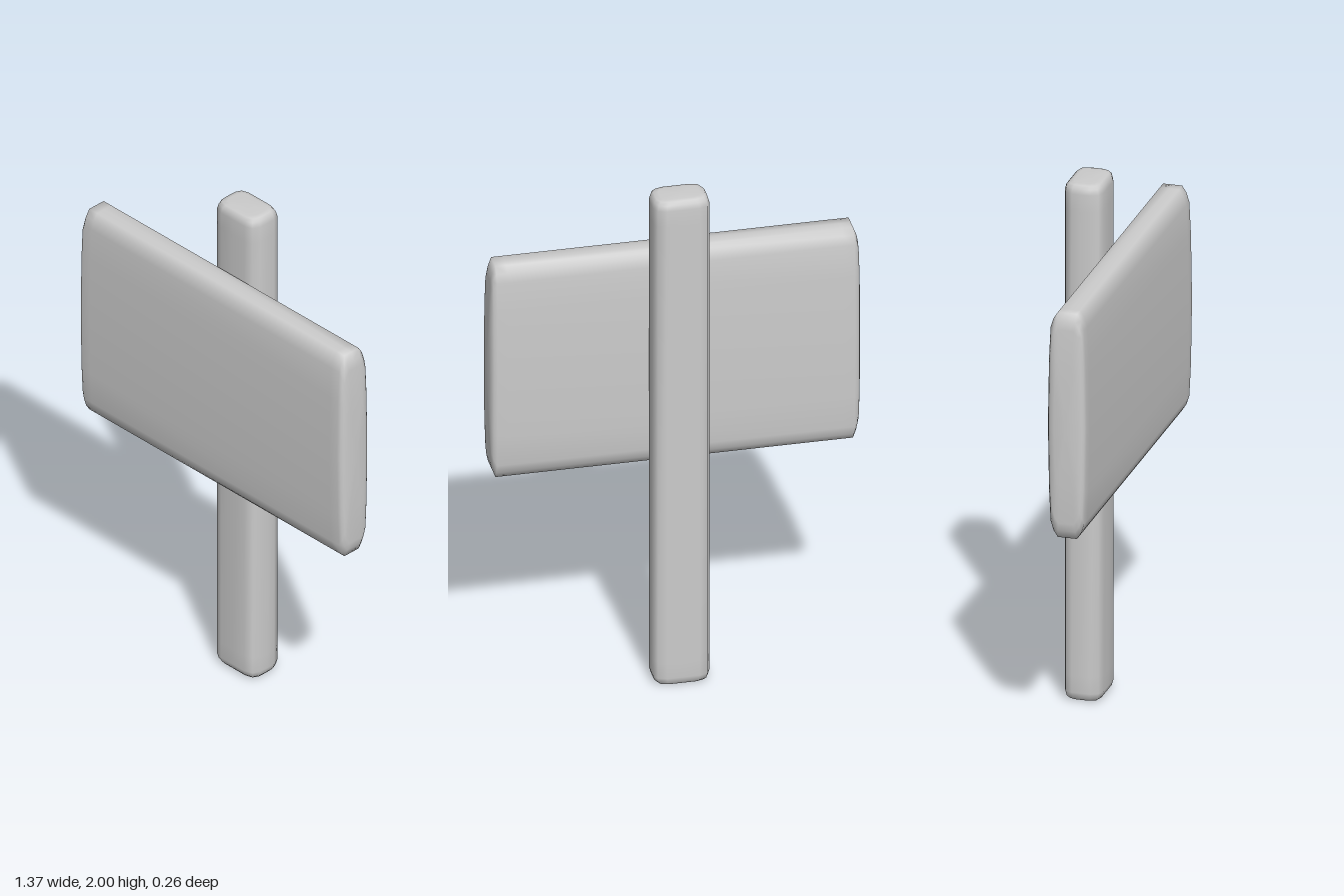
import * as THREE from 'three';

// Soft bar along local z: a quarter section mirrored into a closed loop,
// lofted through end rings [distance, scaleU, scaleV] mirrored to both ends.
function softBar(quarter, endRings, tip) {
  const back = [...quarter].reverse();
  const half = [...quarter, ...back.filter(([u]) => u > 0).map(([u, v]) => [-u, v])];
  const loop = [...half, ...[...half].reverse().map(([u, v]) => [-u, -v]).reverse()]
    .filter(([u, v], i, all) => all.findIndex(q => Math.abs(q[0] - u) + Math.abs(q[1] - v) < 1e-6) === i)
    .sort((p, q) => Math.atan2(p[1], p[0]) - Math.atan2(q[1], q[0]));
  const rings = [
    ...endRings.map(([d, a, b]) => [-d, a, b]),
    ...[...endRings].reverse()
  ];
  const n = loop.length, pos = [], index = [];
  for (const [w, a, b] of rings) for (const [u, v] of loop) pos.push(u * a, v * b, w);
  const first = rings.length * n, last = first + 1;
  pos.push(0, 0, -tip, 0, 0, tip);
  for (let i = 0; i < n; i++) {
    const j = (i + 1) % n, top = (rings.length - 1) * n;
    for (let r = 0; r < rings.length - 1; r++) {
      const p = r * n, q = p + n;
      index.push(p + i, p + j, q + j, p + i, q + j, q + i);
    }
    index.push(first, j, i, last, top + i, top + j);
  }
  const g = new THREE.BufferGeometry();
  g.setAttribute('position', new THREE.Float32BufferAttribute(pos, 3));
  g.setIndex(index);
  return g;
}

export function createModel() {
  const group = new THREE.Group();
  const material = new THREE.MeshStandardMaterial({ color: 0xcccccc });
  const X = new THREE.Vector3(1, 0, 0), Y = new THREE.Vector3(0, 1, 0), Z = new THREE.Vector3(0, 0, 1);

  const add = (name, geometry, basis, y, z) => {
    geometry.applyMatrix4(new THREE.Matrix4().makeBasis(...basis));
    geometry.computeVertexNormals();
    const mesh = new THREE.Mesh(geometry, material);
    mesh.name = name;
    mesh.position.set(0, y, z);
    group.add(mesh);
  };

  // Upright post: section is (z, x), runs along y
  add('post', softBar(
    [[0.073, 0], [0.073, 0.06], [0.062, 0.092], [0.035, 0.104], [0, 0.105]],
    [[0.999, 0.6, 0.7], [0.996, 0.8, 0.86], [0.985, 0.93, 0.95], [0.965, 1, 1], [0.9, 1, 1]], 1),
  [Z, X, Y], 1, -0.058);

  // Sign board: section is (y, z), runs along x
  add('signBoard', softBar(
    [[0.435, 0], [0.435, 0.036], [0.41, 0.052], [0.375, 0.063], [0.25, 0.069], [0, 0.073]],
    [[0.685, 0.5, 0.6], [0.679, 0.86, 0.82], [0.672, 0.93, 0.92], [0.66, 1, 1], [0.62, 1, 1]], 0.687),
  [Y, Z, X], 1.295, 0.058);

  return group;
}
